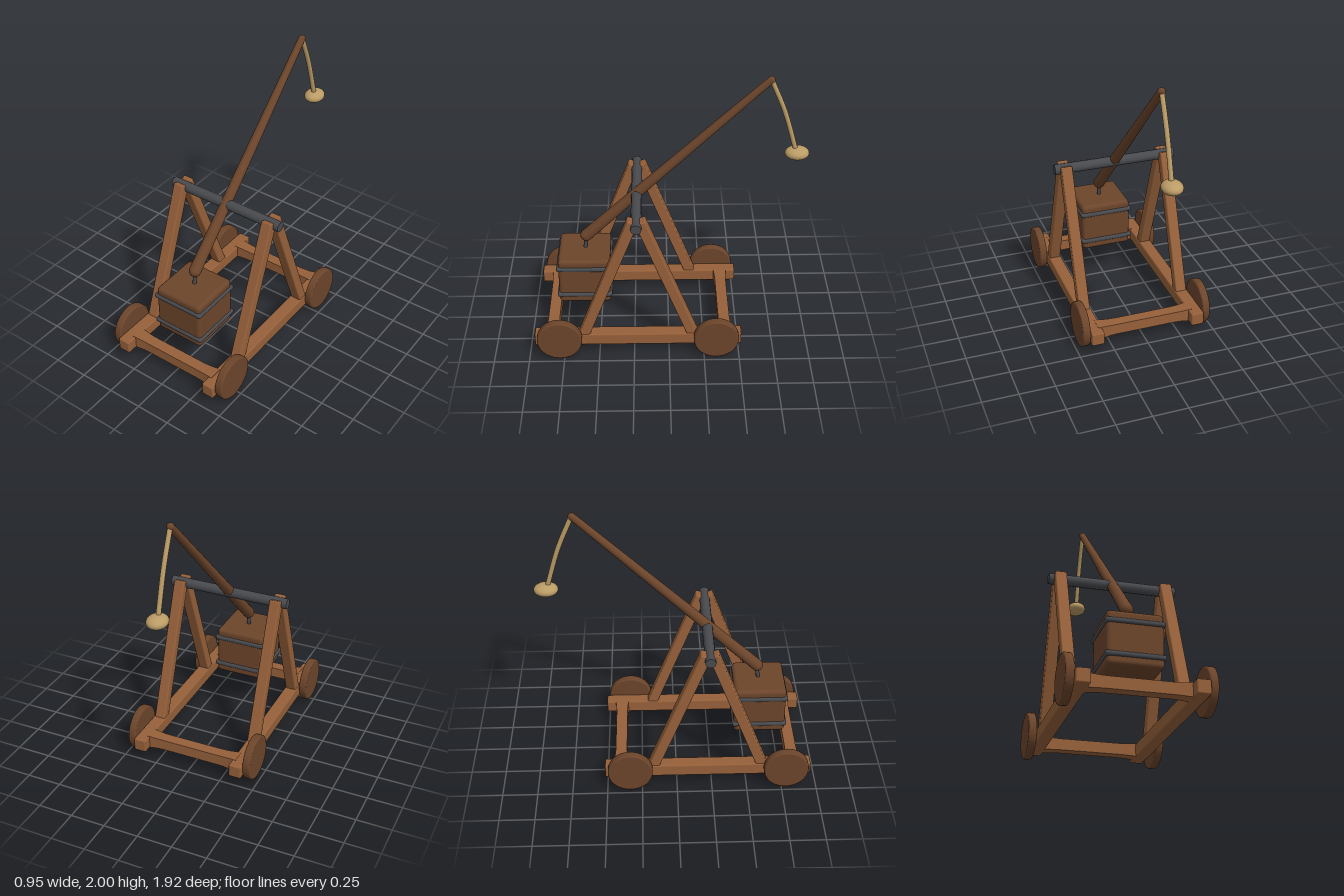
import * as THREE from 'three';
import { RoundedBoxGeometry } from 'three/addons/geometries/RoundedBoxGeometry.js';

const mat = (name, color) => {
  const m = new THREE.MeshStandardMaterial({ color });
  m.name = name;
  return m;
};

export function createModel() {
  const model = new THREE.Group();
  model.name = 'trebuchet';
  const wood = mat('frameWood', 0x96603a);
  const darkWood = mat('darkWood', 0x6c452b);
  const iron = mat('iron', 0x484a4e);
  const rope = mat('rope', 0xbb9c66);
  const V = (x, y, z) => new THREE.Vector3(x, y, z);
  const UP = V(0, 1, 0);

  const add = (name, geo, material, x = 0, y = 0, z = 0) => {
    const m = new THREE.Mesh(geo, material);
    m.name = name;
    m.position.set(x, y, z);
    model.add(m);
    return m;
  };
  // Places a part whose length runs along y between two points
  const span = (name, geo, material, a, b) => {
    const m = add(name, geo, material);
    m.position.copy(a).add(b).multiplyScalar(0.5);
    m.quaternion.setFromUnitVectors(UP, b.clone().sub(a).normalize());
    return m;
  };

  // Wheel: lathed disc with softened rim
  const wheelGeo = new THREE.LatheGeometry(
    [[0, -0.028], [0.15, -0.028], [0.15, -0.028], [0.157, -0.025], [0.16, -0.018],
      [0.16, 0.018], [0.157, 0.025], [0.15, 0.028], [0.15, 0.028], [0, 0.028]]
      .map(([r, y]) => new THREE.Vector2(r, y)), 40);
  wheelGeo.rotateZ(Math.PI / 2);

  // Side rails, A-frame legs and wheels on both sides
  for (const [side, s] of [['left', 1], ['right', -1]]) {
    add(side + 'Rail', new RoundedBoxGeometry(0.092, 0.095, 1.475, 2, 0.01), wood, s * 0.37, 0.128, 0.222);
    for (const [end, d, wz] of [['Front', 1, 0.78], ['Rear', -1, -0.335]]) {
      const foot = V(s * 0.37, 0.1, 0.22 + d * 0.41);
      const head = V(s * 0.37, 1.127, 0.22 + d * 0.025);
      span(side + end + 'Leg', new RoundedBoxGeometry(0.08, foot.distanceTo(head), 0.074, 2, 0.01), wood, foot, head);
      add(side + end + 'Wheel', wheelGeo, darkWood, s * 0.445, 0.162, wz);
    }
  }

  // Cross beams, flaring slightly where they meet the rails
  for (const [name, z] of [['frontBeam', 0.834], ['rearBeam', -0.4]]) {
    const geo = new THREE.BoxGeometry(0.7, 0.08, 0.082, 24, 1, 1);
    const p = geo.attributes.position;
    for (let i = 0; i < p.count; i++) {
      const t = Math.max(0, (Math.abs(p.getX(i)) - 0.2) / 0.13);
      const k = 1 + 0.2 * Math.min(1, t * t);
      p.setY(i, p.getY(i) * k);
      p.setZ(i, p.getZ(i) * k);
    }
    geo.computeVertexNormals();
    add(name, geo, wood, 0, 0.13, z);
  }

  // Pivot axle
  const axle = add('axle', new THREE.CylinderGeometry(0.037, 0.037, 0.892, 12), iron, 0, 1.1, 0.222);
  axle.rotation.z = Math.PI / 2;

  // Tapered throwing arm with rounded ends
  const butt = V(0, 0.752, 0.585), tip = V(0, 1.975, -0.672);
  const len = butt.distanceTo(tip), half = len / 2;
  const profile = [];
  for (let i = 0; i <= 6; i++) {
    const a = (i / 6) * Math.PI / 2;
    profile.push(new THREE.Vector2(0.043 * Math.sin(a), -half - 0.043 * Math.cos(a)));
  }
  for (let i = 0; i <= 6; i++) {
    const a = (i / 6) * Math.PI / 2;
    profile.push(new THREE.Vector2(0.025 * Math.cos(a), half + 0.025 * Math.sin(a)));
  }
  span('throwingArm', new THREE.LatheGeometry(profile, 20), darkWood, butt, tip);

  // Counterweight box, iron bands and hanger
  add('counterweight', new RoundedBoxGeometry(0.37, 0.365, 0.37, 3, 0.028), darkWood, 0, 0.468, 0.602);
  for (const y of [0.357, 0.58]) {
    add('ironBand', new RoundedBoxGeometry(0.394, 0.036, 0.394, 3, 0.016), iron, 0, y, 0.602);
  }
  span('hanger', new THREE.CylinderGeometry(0.014, 0.014, 0.14, 10), iron, V(0, 0.62, 0.6), V(0, 0.755, 0.582));

  // Sling rope and pouch
  const slingPath = new THREE.CatmullRomCurve3(
    [V(0, 1.975, -0.675), V(0, 1.74, -0.775), V(0, 1.43, -0.87)]);
  add('slingRope', new THREE.TubeGeometry(slingPath, 12, 0.017, 10), rope);
  const pouch = add('slingPouch', new THREE.SphereGeometry(1, 24, 16), rope, 0, 1.422, -0.876);
  pouch.scale.set(0.071, 0.045, 0.084);

  return model;
}
